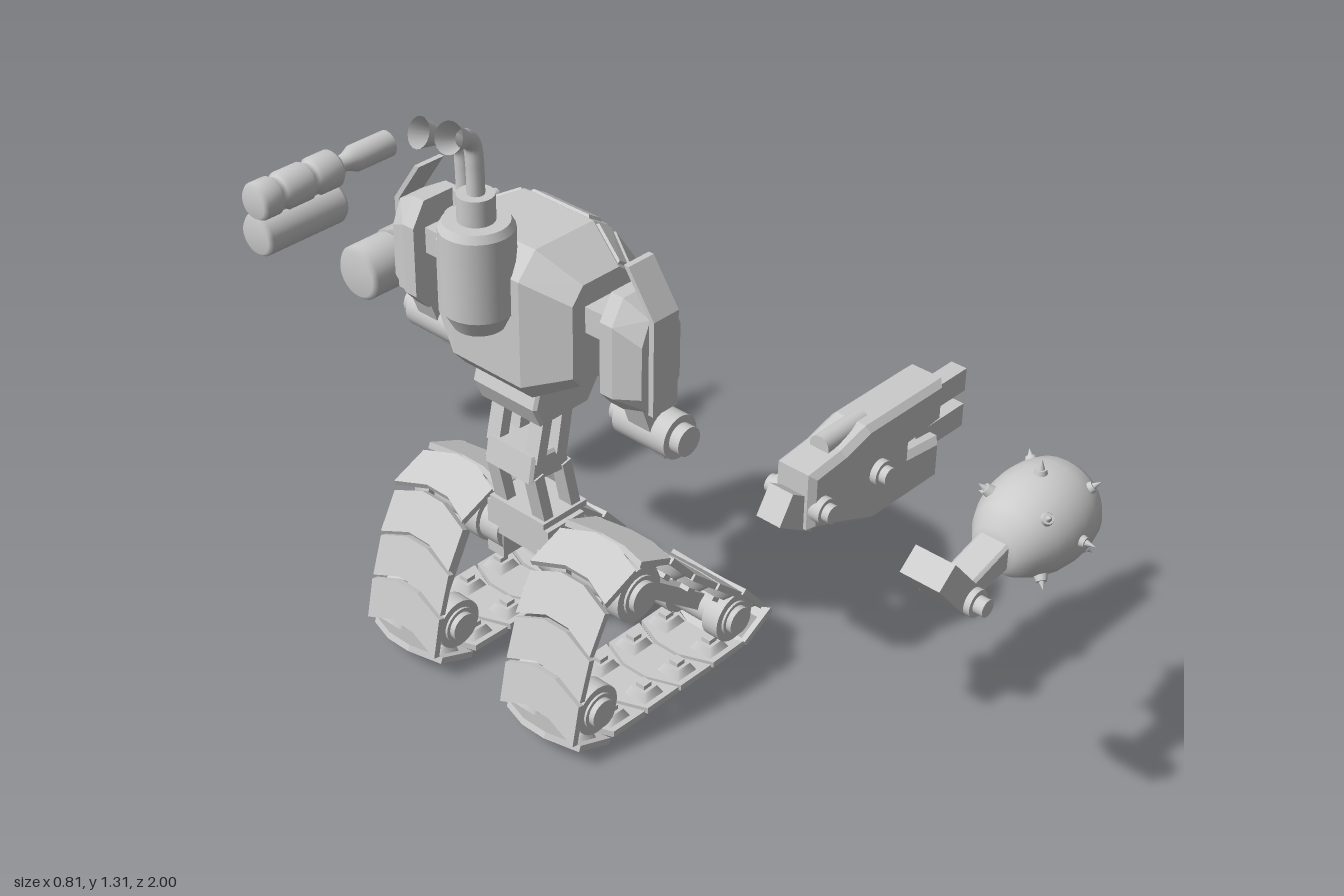
import * as THREE from 'three';
import { ConvexGeometry } from 'three/addons/geometries/ConvexGeometry.js';

const mat = new THREE.MeshStandardMaterial({ color: 0xcccccc });
const V = (x, y, z) => new THREE.Vector3(x, y, z);

export function createModel() {
  const root = new THREE.Group();
  let parent = root;

  const group = (name, z) => {
    parent = new THREE.Group();
    parent.name = name;
    parent.position.z = z;
    root.add(parent);
  };
  const add = (name, geo, x = 0, y = 0, z = 0) => {
    const m = new THREE.Mesh(geo, mat);
    m.name = name;
    m.position.set(x, y, z);
    parent.add(m);
    return m;
  };
  const box = (name, w, h, d, x, y, z) => add(name, new THREE.BoxGeometry(w, h, d), x, y, z);
  const cylY = (name, r1, r2, h, x, y, z, n = 24) => add(name, new THREE.CylinderGeometry(r1, r2, h, n), x, y, z);
  // Cylinder along z, centred
  const cylZ = (name, r, len, x, y, z, n = 24) => add(name, new THREE.CylinderGeometry(r, r, len, n).rotateX(Math.PI / 2), x, y, z);
  // Cylinder along x from x0 to x1, radius r0 to r1
  const cylX = (name, r0, r1, x0, x1, y, z, n = 24) =>
    add(name, new THREE.CylinderGeometry(r1, r0, x1 - x0, n).rotateZ(-Math.PI / 2), (x0 + x1) / 2, y, z);
  // Box from a to b in the xy plane
  const beam = (name, a, b, w, d, z) => {
    const m = box(name, Math.hypot(b[0] - a[0], b[1] - a[1]), w, d, (a[0] + b[0]) / 2, (a[1] + b[1]) / 2, z);
    m.rotation.z = Math.atan2(b[1] - a[1], b[0] - a[0]);
  };
  // Side outline with thickness along z
  const slab = (name, pts, depth, z, bevel = 0.006) => {
    const geo = new THREE.ExtrudeGeometry(new THREE.Shape(pts.map(p => new THREE.Vector2(...p))), {
      depth: depth - 2 * bevel, bevelEnabled: bevel > 0, bevelSize: bevel, bevelThickness: bevel,
      bevelOffset: -bevel, bevelSegments: 1 });
    return add(name, geo, 0, 0, z - depth / 2 + bevel);
  };
  const hull = (name, pts) => add(name, new ConvexGeometry(pts));
  // Lathe profile [x, radius] turned about the x axis
  const latheX = (name, prof, y, z) =>
    add(name, new THREE.LatheGeometry(prof.map(([x, r]) => new THREE.Vector2(r, x)), 32).rotateZ(-Math.PI / 2), 0, y, z);

  // ---------- Walker body ----------
  group('walker', -0.05);

  // Torso: faceted hull with raised panels on its front half
  const prof = [[-0.295, 0.745], [-0.295, 0.97], [-0.25, 1.02], [-0.1, 1.02], [-0.06, 0.995],
    [0.04, 0.85], [0.044, 0.775], [0, 0.715], [-0.265, 0.71]];
  const inner = prof.map(([x, y]) => [-0.17 + 0.62 * (x + 0.17), 0.86 + 0.68 * (y - 0.86)]);
  const torso = [];
  for (const s of [-1, 1]) {
    prof.forEach(p => torso.push(V(...p, s * 0.09)));
    inner.forEach(p => torso.push(V(...p, s * 0.18)));
  }
  hull('torso', torso);
  const panel = (name, c) => {
    const mid = V(0, 0, 0);
    c.forEach(p => mid.addScaledVector(p, 0.25));
    const n = c[1].clone().sub(c[0]).cross(c[3].clone().sub(c[0])).normalize();
    if (n.dot(mid.clone().sub(V(-0.17, 0.86, 0))) < 0) n.negate();
    const pts = [];
    c.forEach(p => {
      pts.push(p.clone().lerp(mid, 0.12).addScaledVector(n, -0.004));
      pts.push(p.clone().lerp(mid, 0.2).addScaledVector(n, 0.006));
    });
    hull(name, pts);
  };
  for (let i = 3; i < 7; i++) {
    const [a, b, c, d] = [prof[i], prof[i + 1], inner[i + 1], inner[i]];
    panel('cockpitPanel', [V(...a, -0.09), V(...b, -0.09), V(...b, 0.09), V(...a, 0.09)]);
    for (const s of [-1, 1])
      panel('cockpitSidePanel', [V(...a, s * 0.09), V(...b, s * 0.09), V(...c, s * 0.18), V(...d, s * 0.18)]);
  }

  // Pelvis, knee and ankle
  slab('pelvis', [[-0.255, 0.67], [-0.235, 0.625], [-0.11, 0.625], [-0.08, 0.67], [-0.1, 0.72], [-0.24, 0.72]], 0.17, 0);
  slab('knee', [[-0.25, 0.49], [-0.24, 0.547], [-0.15, 0.54], [-0.14, 0.478]], 0.13, 0);
  box('anklePlate', 0.12, 0.014, 0.15, -0.167, 0.383, 0);
  box('hip', 0.1, 0.07, 0.17, -0.175, 0.34, 0);

  for (const s of [-1, 1]) {
    // Leg struts
    const z = s * 0.052;
    beam('lowerStrut', [-0.205, 0.385], [-0.23, 0.5], 0.024, 0.034, z);
    beam('lowerStrut', [-0.13, 0.385], [-0.155, 0.5], 0.024, 0.034, z);
    beam('upperStrut', [-0.225, 0.53], [-0.2, 0.64], 0.024, 0.034, z);
    beam('upperStrut', [-0.168, 0.53], [-0.148, 0.64], 0.028, 0.034, z);

    // Shoulder, pad and fin
    box('shoulderLink', 0.09, 0.055, 0.12, -0.17, 0.895, s * 0.21);
    const pad = [];
    for (const [x, y] of [[-0.245, 0.78], [-0.245, 0.93], [-0.215, 0.98], [-0.13, 0.98], [-0.1, 0.94], [-0.1, 0.79], [-0.13, 0.745], [-0.215, 0.745]]) {
      pad.push(V(x, y, s * 0.245), V(x, y, s * 0.275));
      pad.push(V(-0.172 + (x + 0.172) * 0.7, y > 0.86 ? y - 0.03 : y + 0.01, s * 0.328));
    }
    hull('shoulderPad', pad);
    const fin = [[0.27, 1.04], [0.332, 0.95], [0.332, 0.75]];
    for (let i = 0; i < 2; i++) {
      const pts = [];
      for (const [fz, fy] of [fin[i], fin[i + 1]])
        for (const x of [-0.205, -0.14]) pts.push(V(x, fy, s * (fz - 0.004)), V(x, fy, s * (fz + 0.008)));
      hull('shoulderFin', pts);
    }

    // Upper arm and elbow
    beam('upperArm', [-0.185, 0.79], [-0.145, 0.68], 0.06, 0.055, s * 0.285);
    cylZ('elbow', 0.045, 0.13, -0.14, 0.68, s * 0.283);
    cylZ('elbowCap', 0.03, 0.175, -0.14, 0.68, s * 0.283);
    beam('armStub', [-0.145, 0.68], [-0.11, 0.615], 0.045, 0.04, s * 0.283);

    // Track frame: rollers and beams
    const tz = s * 0.195, wheels = [[-0.18, 0.305], [-0.295, 0.088], [0.105, 0.088]];
    wheels.forEach(([x, y], i) => {
      const k = i ? 0.9 : 1;
      cylZ('roller', 0.043 * k, 0.19, x, y, tz);
      for (const e of [-1, 1]) cylZ('wheelRim', 0.06 * k, 0.04, x, y, tz + e * 0.07);
      cylZ('wheelHub', 0.034 * k, 0.215, x, y, tz);
    });
    cylZ('hipAxle', 0.05, 0.06, -0.18, 0.3, s * 0.085);
    box('hipBracket', 0.07, 0.06, 0.045, -0.18, 0.27, s * 0.075);
    for (const w of [1, 2]) beam('trackBeam', wheels[0], wheels[w], 0.036, 0.05, tz);

    // Track: chevron plates with guide lugs set along a closed path
    const path = new THREE.CatmullRomCurve3([[-0.18, 0.372], [-0.11, 0.35], [-0.02, 0.26], [0.09, 0.165], [0.165, 0.1],
      [0.188, 0.055], [0.155, 0.022], [0.05, 0.012], [-0.12, 0.011], [-0.27, 0.013], [-0.34, 0.03], [-0.36, 0.075],
      [-0.34, 0.17], [-0.3, 0.28], [-0.25, 0.35]].map(([x, y]) => V(x, y, 0)), true);
    const N = 15, h = path.getLength() / N / 2 - 0.004;
    const shape = new THREE.Shape([[-h, -0.1], [h, -0.1], [h + 0.028, -0.03], [h + 0.028, 0.03], [h, 0.1],
      [-h, 0.1], [-h + 0.028, 0.03], [-h + 0.028, -0.03]].map(p => new THREE.Vector2(p[0] - 0.014, p[1])));
    const plate = new THREE.ExtrudeGeometry(shape, { depth: 0.014, bevelEnabled: false }).translate(0, 0, -0.007);
    for (let i = 0; i < N; i++) {
      const u = (i + 0.5) / N, p = path.getPointAt(u), t = path.getTangentAt(u);
      const basis = new THREE.Matrix4().makeBasis(t, V(0, 0, -1), V(-t.y, t.x, 0));
      const place = m => { m.quaternion.setFromRotationMatrix(basis); return m; };
      place(add('trackPlate', plate, p.x, p.y, tz));
      for (const e of [-1, 1]) {
        const lug = place(add('trackLug', new THREE.CylinderGeometry(0.026, 0.04, 0.018, 4, 1, false, Math.PI / 4)
          .rotateX(-Math.PI / 2), p.x + t.y * 0.015, p.y - t.x * 0.015, tz + e * 0.06));
        place(add('lugCap', new THREE.BoxGeometry(0.022, 0.022, 0.012), lug.position.x + t.y * 0.013, lug.position.y - t.x * 0.013, lug.position.z));
      }
    }
  }

  // Exhaust tanks and flared pipes
  const exhaust = (x, z, r, top, pipeTop, sway) => {
    cylY('exhaustTank', r, r, top - 0.9, x, (top + 0.885) / 2, z);
    cylY('tankBase', r, r * 0.7, 0.04, x, 0.875, z);
    cylY('tankLid', r * 0.88, r, 0.015, x, top, z);
    cylY('exhaustNeck', r * 0.5, r * 0.5, 0.07, x, top + 0.025, z);
    const pts = [V(x, top, z), V(x, pipeTop - 0.1, z), V(x - 0.005, pipeTop - 0.06, z),
      V(x - 0.03, pipeTop - 0.035, z + sway * 0.4), V(x - 0.05, pipeTop - 0.025, z + sway * 0.7)];
    add('exhaustPipe', new THREE.TubeGeometry(new THREE.CatmullRomCurve3(pts), 32, 0.017, 14));
    const flare = add('exhaustFlare', new THREE.CylinderGeometry(0.03, 0.017, 0.045, 18, 1, true), x - 0.065, pipeTop - 0.018, z + sway);
    flare.material = new THREE.MeshStandardMaterial({ color: 0xcccccc, side: THREE.DoubleSide });
    flare.quaternion.setFromUnitVectors(V(0, 1, 0), V(-0.9, 0.42, sway * 6).normalize());
  };
  exhaust(-0.308, 0, 0.072, 1.065, 1.285, 0.025);
  exhaust(-0.265, -0.075, 0.045, 1.03, 1.235, -0.02);

  // ---------- Spiked mace arm ----------
  group('maceArm', 0.872);
  latheX('maceHead', [[0.05, 0], [0.05, 0.045], [0.085, 0.072], [0.12, 0.089], [0.155, 0.098], [0.19, 0.101],
    [0.225, 0.098], [0.255, 0.09], [0.275, 0.076], [0.277, 0.06], [0.25, 0.055], [0.225, 0.038], [0.215, 0]], 0.615, 0);
  const spike = (x, a, r, len) => {
    const dir = V((x - 0.18) * 0.9, Math.cos(a) * 0.1, Math.sin(a) * 0.1).normalize();
    const base = V(x, 0.615 + Math.cos(a) * r, Math.sin(a) * r);
    const q = new THREE.Quaternion().setFromUnitVectors(V(0, 1, 0), dir);
    add('spikeCollar', new THREE.CylinderGeometry(0.01, 0.014, 0.016, 12), ...base).quaternion.copy(q);
    const tip = base.addScaledVector(dir, len / 2);
    add('spike', new THREE.ConeGeometry(0.009, len, 12), ...tip).quaternion.copy(q);
  };
  for (let i = 0; i < 4; i++) {
    spike(0.18, i * Math.PI / 2, 0.1, 0.028);
    for (const x of [0.115, 0.245]) spike(x, (i + 0.5) * Math.PI / 2, 0.09, 0.024);
  }
  slab('maceForearm', [[-0.075, 0.565], [-0.075, 0.605], [0.07, 0.645], [0.07, 0.585]], 0.065, 0);
  beam('maceUpperArm', [-0.145, 0.68], [-0.058, 0.58], 0.055, 0.085, 0);
  cylZ('maceElbow', 0.027, 0.11, -0.063, 0.587, 0);
  cylZ('maceElbowCap', 0.017, 0.15, -0.063, 0.587, 0);

  // ---------- Twin cannon arm ----------
  group('twinCannon', 0.528);
  slab('cannonBody', [[-0.09, 0.575], [-0.09, 0.695], [0, 0.705], [0.07, 0.725], [0.295, 0.725], [0.295, 0.635],
    [0.2, 0.625], [0.2, 0.605], [0.295, 0.595], [0.295, 0.505], [0.09, 0.505], [-0.02, 0.55]], 0.092, 0, 0.012);
  for (const y of [0.665, 0.585]) box('cannonBarrel', 0.15, 0.05, 0.036, 0.325, y, 0);
  cylX('cannonTopTube', 0.022, 0.022, -0.02, 0.1, 0.708, 0);
  beam('cannonMount', [-0.14, 0.64], [-0.05, 0.585], 0.065, 0.055, 0);
  for (const x of [-0.063, 0.102]) {
    cylZ('cannonPivot', 0.026, 0.12, x, 0.615, 0);
    cylZ('cannonPivotCap', 0.018, 0.15, x, 0.615, 0);
  }

  // ---------- Forked gun arm ----------
  group('forkedGun', -0.628);
  latheX('gunDrum', [[-0.115, 0], [-0.115, 0.05], [-0.105, 0.06], [-0.02, 0.06], [-0.005, 0.052], [-0.005, 0]], 0.642, 0);
  cylX('gunHousing', 0.064, 0.064, -0.01, 0.09, 0.642, 0, 8);
  for (const s of [-1, 1]) {
    box('gunCheek', 0.12, 0.05, 0.014, 0.095, 0.642, s * 0.055);
    slab('gunProng', [[0.05, 0.642 + s * 0.012], [0.05, 0.642 + s * 0.06], [0.17, 0.642 + s * 0.06],
      [0.205, 0.642 + s * 0.045], [0.205, 0.642 + s * 0.012]], 0.07, 0);
    cylX('gunBarrel', 0.013, 0.013, 0.19, 0.29, 0.642 + s * 0.032, 0, 16);
  }

  // ---------- Double-tube launcher ----------
  group('launcher', -0.95);
  latheX('upperDrum', [[-0.12, 0], [-0.12, 0.036], [-0.11, 0.044], [-0.07, 0.044], [-0.062, 0.036], [-0.05, 0.036],
    [-0.042, 0.044], [0.02, 0.044], [0.028, 0.036], [0.04, 0.036], [0.048, 0.044], [0.1, 0.044], [0.11, 0.036], [0.11, 0]], 0.69, 0);
  latheX('launcherBarrel', [[0.1, 0.02], [0.14, 0.02], [0.165, 0.031], [0.265, 0.031], [0.265, 0.023], [0.2, 0.021], [0.2, 0]], 0.69, 0);
  latheX('lowerTube', [[-0.12, 0], [-0.12, 0.042], [-0.11, 0.05], [0.095, 0.05], [0.105, 0.044], [0.105, 0.03], [0.08, 0.028], [0.08, 0]], 0.61, 0);
  box('launcherBridge', 0.16, 0.06, 0.04, 0, 0.65, 0);

  return root;
}
